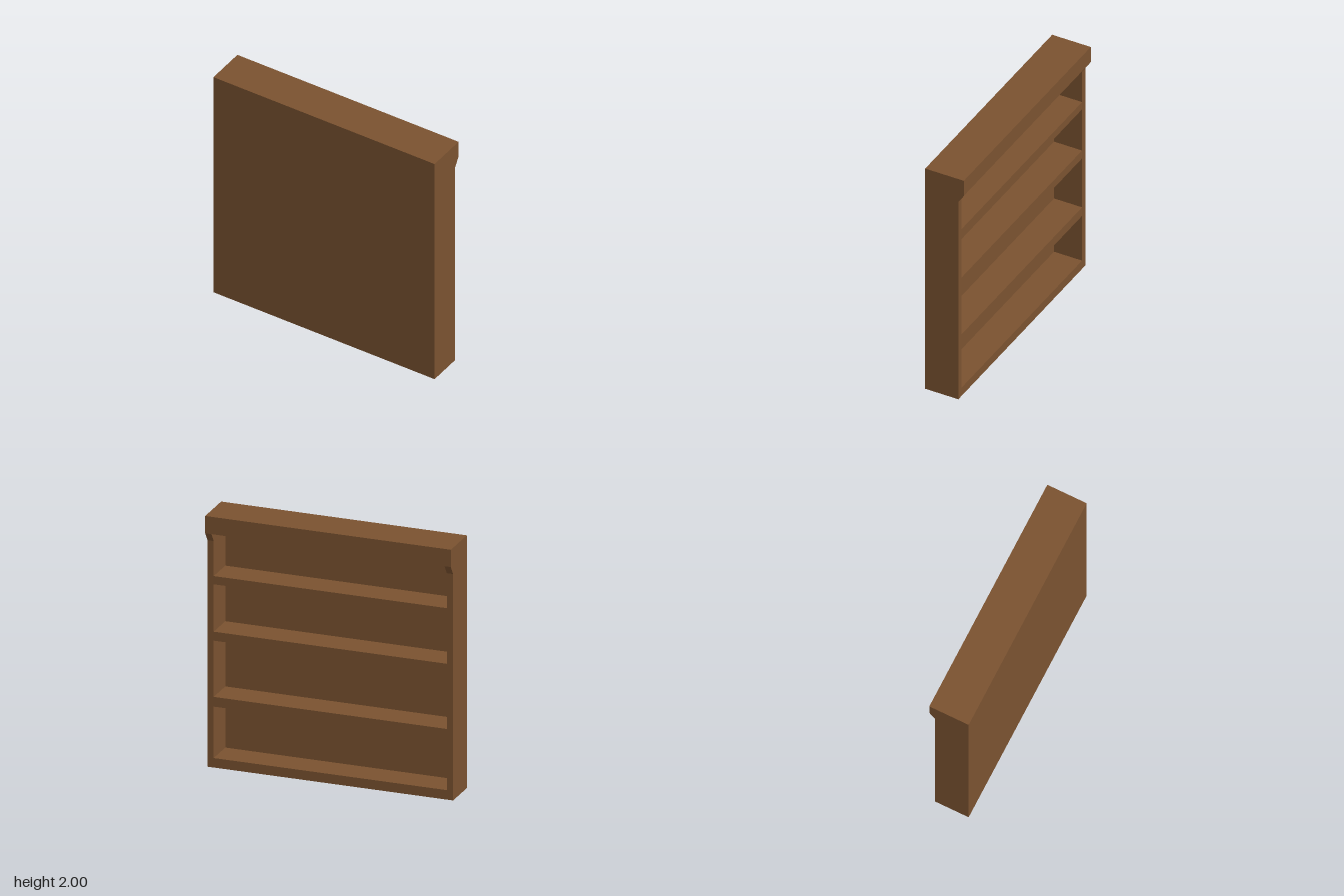
import * as THREE from 'three';

export function createModel() {
  const group = new THREE.Group();
  group.name = 'bookcase';

  const wood = new THREE.MeshStandardMaterial({ color: 0x7a5230 });
  wood.name = 'brown wood';

  const W = 0.977, H = 2;               // half width, height
  const FRONT = 0.163, EDGE = -0.117, LIP = -0.163; // depths along z
  const SIDE = 0.05, PANEL = 0.12;      // side thickness, inner face of the panel
  const HEADER = 1.863;                 // underside of the header

  // Box given by its y and z ranges, spanning between the two sides
  function board(name, y0, y1, z0, z1) {
    const geometry = new THREE.BoxGeometry(2 * (W - SIDE), y1 - y0, z1 - z0);
    const mesh = new THREE.Mesh(geometry, wood);
    mesh.position.set(0, (y0 + y1) / 2, (z0 + z1) / 2);
    mesh.name = name;
    group.add(mesh);
  }

  // Side boards with a sloped bracket under the overhanging top
  const profile = new THREE.Shape([
    [FRONT, 0], [FRONT, H], [LIP, H], [LIP, HEADER], [EDGE, 1.792], [EDGE, 0],
  ].map(([z, y]) => new THREE.Vector2(z, y)));
  const sideGeometry = new THREE.ExtrudeGeometry(profile, { depth: SIDE, bevelEnabled: false });
  sideGeometry.rotateY(-Math.PI / 2);   // profile now lies in z-y, thickness runs to -x
  for (const [name, x] of [['leftSide', W], ['rightSide', -W + SIDE]]) {
    const side = new THREE.Mesh(sideGeometry, wood);
    side.position.x = x;
    side.name = name;
    group.add(side);
  }

  // Closed panel and overhanging header
  board('panel', 0, HEADER, PANEL, FRONT);
  board('header', HEADER, H, LIP, FRONT);

  // Base board and shelves, opening on the -z side
  const shelves = [[0, 0.075], [0.482, 0.559], [1.004, 1.075], [1.45, 1.515]];
  shelves.forEach(([y0, y1], i) => board(i ? `shelf${i}` : 'baseBoard', y0, y1, EDGE, PANEL));

  return group;
}
